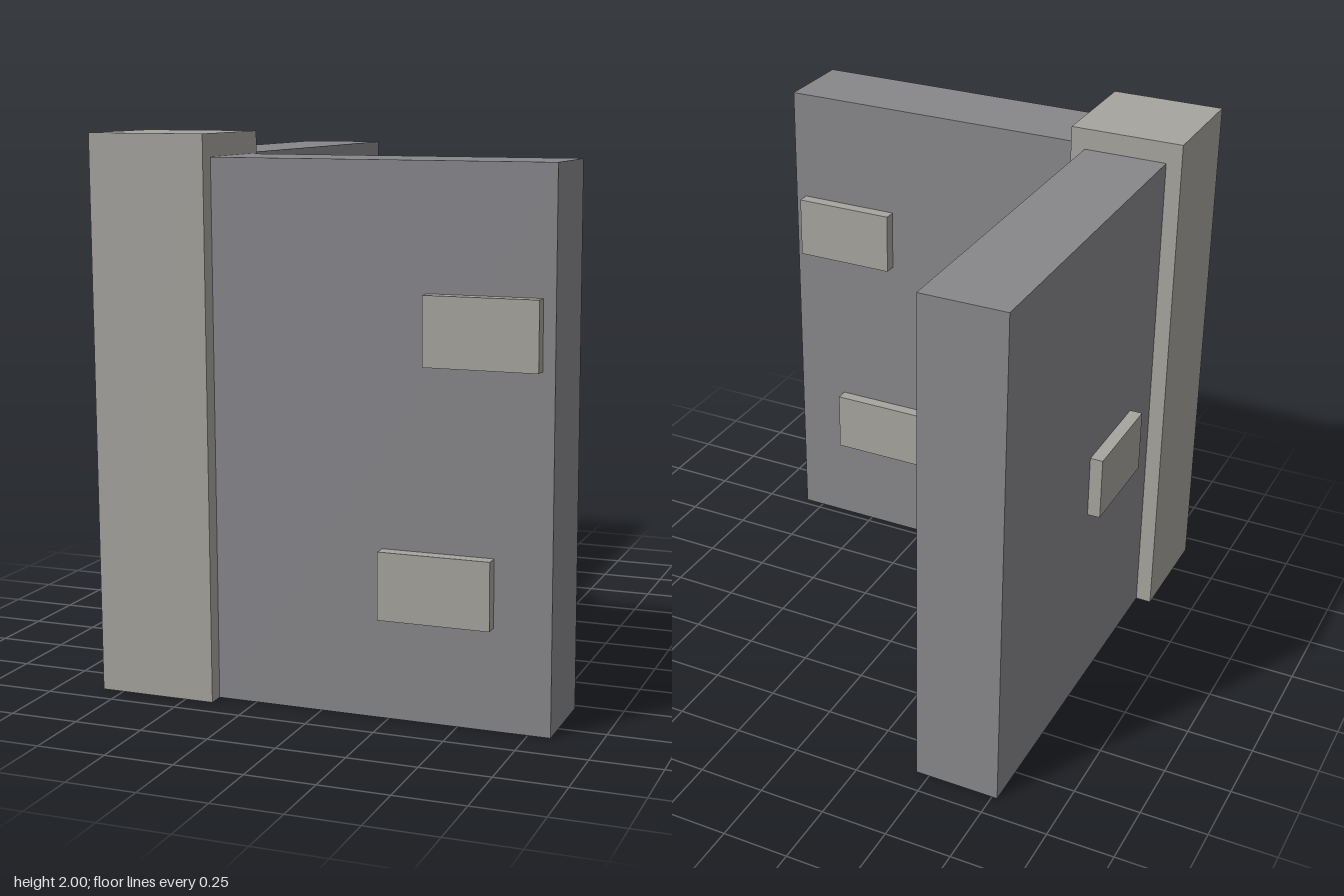
import * as THREE from 'three';

const wallMaterial = new THREE.MeshStandardMaterial({ color: 0x87868a });
const stoneMaterial = new THREE.MeshStandardMaterial({ color: 0xa6a49e });

// Box given by its [min, max] extent along each axis
function block(name, material, [x0, x1], [y0, y1], [z0, z1]) {
  const mesh = new THREE.Mesh(new THREE.BoxGeometry(x1 - x0, y1 - y0, z1 - z0), material);
  mesh.name = name;
  mesh.position.set((x0 + x1) / 2, (y0 + y1) / 2, (z0 + z1) / 2);
  return mesh;
}

export function createModel() {
  const group = new THREE.Group();
  group.name = 'wallCorner';

  // Corner post, slightly taller and thicker than the walls
  group.add(block('cornerPost', stoneMaterial, [-0.83, -0.395], [0, 2], [0.473, 0.91]));

  // Two walls meeting at the post
  group.add(block('frontWall', wallMaterial, [-0.395, 0.83], [0, 1.92], [0.53, 0.85]));
  group.add(block('sideWall', wallMaterial, [-0.77, -0.45], [0, 1.92], [-0.91, 0.473]));

  // Bricks running through the walls and standing proud on both faces
  for (const [x, y] of [[0.387, 1.242], [0.227, 0.362]]) {
    group.add(block('frontWallBrick', stoneMaterial, [x, x + 0.4], [y, y + 0.24], [0.482, 0.898]));
  }
  group.add(block('sideWallBrick', stoneMaterial, [-0.818, -0.402], [0.762, 1.002], [-0.15, 0.25]));

  return group;
}
